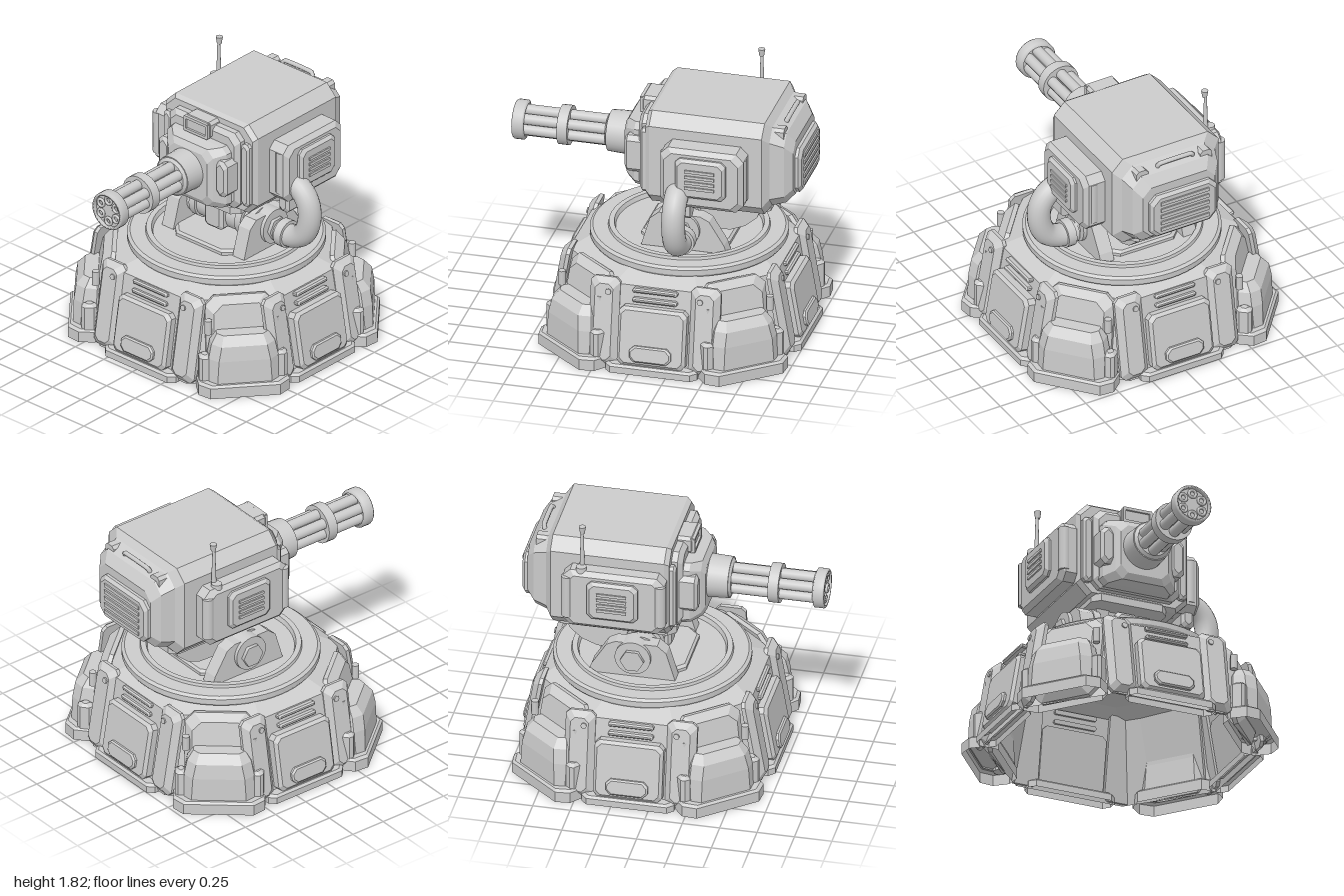
import * as THREE from 'three';

const mat = new THREE.MeshStandardMaterial({ color: 0xcccccc, side: THREE.DoubleSide });

function add(parent, name, geo, x = 0, y = 0, z = 0) {
  const m = new THREE.Mesh(geo, mat);
  m.name = name;
  m.position.set(x, y, z);
  parent.add(m);
  return m;
}

// Chamfered rectangle, counter-clockwise
function rect(w, h, c) {
  const a = w / 2, b = h / 2;
  return [[a, c - b], [a, b - c], [a - c, b], [c - a, b], [-a, b - c], [-a, c - b], [c - a, -b], [a - c, -b]];
}

// Skin between outlines stacked along z: sections are [outline, z, yShift]
function loft(sections, startCap = true, endCap = true) {
  const pos = [];
  const pt = (k, i) => {
    const [o, z, dy = 0] = sections[k], p = o[i % o.length];
    return [p[0], p[1] + dy, z];
  };
  const n = sections[0][0].length, last = sections.length - 1;
  for (let k = 0; k < last; k++) for (let i = 0; i < n; i++) {
    const a = pt(k, i), b = pt(k, i + 1), c = pt(k + 1, i + 1), d = pt(k + 1, i);
    pos.push(...a, ...b, ...c, ...a, ...c, ...d);
  }
  for (let i = 1; i < n - 1; i++) {
    if (endCap) pos.push(...pt(last, 0), ...pt(last, i), ...pt(last, i + 1));
    if (startCap) pos.push(...pt(0, 0), ...pt(0, i + 1), ...pt(0, i));
  }
  const g = new THREE.BufferGeometry();
  g.setAttribute('position', new THREE.Float32BufferAttribute(pos, 3));
  g.computeVertexNormals();
  return g;
}

// Bevelled armour plate facing +z, back at z = 0
function plate(w, h, d, c = 0.04, bevel = 0.03, back = true) {
  return loft([[rect(w, h, c), 0], [rect(w, h, c), d - bevel],
    [rect(w - 2 * bevel, h - 2 * bevel, c), d]], back);
}
// The same shape standing on y = 0
const slab = (w, d, h, c, bevel, bottom) => plate(w, d, h, c, bevel, bottom).rotateX(-Math.PI / 2);
const rod = (r, l, axis, n = 20, r2 = r) => {
  const g = new THREE.CylinderGeometry(r2, r, l, n);
  if (axis === 'x') g.rotateZ(-Math.PI / 2);
  if (axis === 'z') g.rotateX(Math.PI / 2);
  return g;
};
// Side profile given as [z, y] points, extruded across x
function profile(points, w) {
  const s = new THREE.Shape(points.map(([z, y]) => new THREE.Vector2(-z, y)));
  return new THREE.ExtrudeGeometry(s, { depth: w, bevelEnabled: false })
    .translate(0, 0, -w / 2).rotateY(Math.PI / 2);
}
const lathe = (pts, n) => new THREE.LatheGeometry(pts.map(p => new THREE.Vector2(...p)), n);

function buildBase() {
  const base = new THREE.Group();
  base.name = 'base';
  base.position.z = -0.145;
  // Hollow shell, open below
  add(base, 'baseShell', loft([[rect(1.68, 1.58, 0.46), 0.01], [rect(1.47, 1.4, 0.42), 0.57],
    [rect(1.16, 1.14, 0.36), 0.64]], false, false).rotateX(-Math.PI / 2));
  for (let i = 0; i < 4; i++) {
    // Flat sides: panel, slats and flanking columns
    const side = new THREE.Group();
    side.name = 'baseSide';
    side.rotation.y = i * Math.PI / 2;
    base.add(side);
    const reach = i % 2 ? 0.835 : 0.785;
    const tilt = new THREE.Group();
    tilt.position.z = reach;
    tilt.rotation.x = -0.17;
    side.add(tilt);
    add(tilt, 'sidePanel', plate(0.46, 0.4, 0.085, 0.03, 0.02), 0, 0.25, -0.01);
    add(tilt, 'stepPlate', plate(0.28, 0.11, 0.03, 0.03, 0.01), 0, 0.14, 0.07);
    for (const y of [0.49, 0.555]) add(tilt, 'slat', plate(0.3, 0.03, 0.05, 0.008, 0.01), 0, y, -0.01);
    add(side, 'sill', slab(0.62, 0.14, 0.06, 0.04, 0.015, false), 0, 0, reach);
    for (const s of [-1, 1]) {
      add(tilt, 'flankColumn', plate(0.2, 0.6, 0.065, 0.03, 0.04), s * 0.34, 0.32, -0.02);
      add(tilt, 'columnBolt', rod(0.02, 0.03, 'z', 8), s * 0.31, 0.53, 0.04);
    }
  }
  // Corners: leaning column and heavy hollow foot
  for (const sx of [-1, 1]) for (const sz of [-1, 1]) {
    const corner = new THREE.Group();
    corner.name = 'baseCorner';
    corner.rotation.y = Math.atan2(sx * 0.766, sz * 0.643);
    base.add(corner);
    const lean = new THREE.Group();
    lean.position.z = 0.84;
    lean.rotation.x = -0.2;
    corner.add(lean);
    add(lean, 'cornerColumn', plate(0.46, 0.6, 0.08, 0.06, 0.05), 0, 0.32, -0.02);
    add(corner, 'footPlate', slab(0.6, 0.25, 0.09, 0.07, 0.015, false), 0, 0, 0.885);
    add(corner, 'footBlock', loft([[rect(0.46, 0.22, 0.05), 0.08], [rect(0.46, 0.21, 0.06), 0.25],
      [rect(0.42, 0.2, 0.06), 0.35, 0.01], [rect(0.34, 0.12, 0.04), 0.41, 0.02]], false).rotateX(-Math.PI / 2), 0, 0, 0.87);
    for (const s of [-1, 1]) {
      add(corner, 'footLug', slab(0.08, 0.1, 0.2, 0.02, 0.02), s * 0.25, 0.07, 0.87);
      add(corner, 'footHook', rod(0.025, 0.1, 'y', 8), s * 0.22, 0.44, 0.83);
    }
  }
  return base;
}

function buildMount(g) {
  const ring = lathe([[0, 0.62], [0.64, 0.62], [0.65, 0.635], [0.65, 0.67], [0.63, 0.685], [0.53, 0.685],
    [0.525, 0.705], [0.49, 0.705], [0.48, 0.675], [0, 0.675]], 64).toNonIndexed();
  ring.computeVertexNormals();
  add(g, 'turntable', ring, 0, 0, -0.17);
  add(g, 'deckPlate', slab(0.56, 0.6, 0.04, 0.08, 0.015), 0, 0.67, -0.2);
  // Trunnion brackets and axle
  const bracket = [[0.06, 0.68], [0, 0.88], [-0.06, 0.93], [-0.34, 0.93], [-0.4, 0.9], [-0.5, 0.74], [-0.52, 0.68]];
  for (const s of [-1, 1]) {
    add(g, 'bracket', profile(bracket, 0.1), s * 0.31, 0, 0);
    add(g, 'bracketBoss', rod(0.12, 0.13, 'x', 24), s * 0.32, 0.83, -0.22);
    add(g, 'axleBolt', rod(0.08, 0.06, 'x', 6), s * 0.38, 0.82, -0.22);
    add(g, 'axleCollar', rod(0.13, 0.05, 'x', 24), s * 0.2, 0.85, -0.18);
  }
  add(g, 'axle', rod(0.11, 0.6, 'x', 24), 0, 0.84, -0.18);
  add(g, 'axleBlock', plate(0.16, 0.2, 0.24, 0.02, 0.02), 0, 0.85, -0.27);
  // Curved rockers under the gun housing
  const rocker = [[-0.08, 1.01], [-0.1, 0.85], [-0.25, 0.77], [-0.5, 0.78], [-0.6, 0.82], [-0.68, 0.89], [-0.73, 1.01]];
  for (const x of [-0.15, 0, 0.15]) add(g, 'rocker', profile(rocker, 0.09), x, 0, 0);
  add(g, 'rockerCore', profile(rocker.map(([z, y]) => [z * 0.93 - 0.02, y + 0.03]), 0.36));
}

function buildHousing(g) {
  add(g, 'housing', loft([[rect(0.54, 0.38, 0.06), -0.95, -0.02], [rect(0.64, 0.5, 0.07), -0.9, -0.01],
    [rect(0.7, 0.57, 0.08), -0.81], [rect(0.8, 0.66, 0.08), -0.77], [rect(0.8, 0.66, 0.08), -0.01],
    [rect(0.76, 0.62, 0.08), 0.02]]), 0.02, 1.33, 0);
  add(g, 'bellyPlate', slab(0.54, 0.82, 0.06, 0.05, 0.01), 0, 0.965, -0.37);
  add(g, 'frontPlate', plate(0.62, 0.56, 0.08, 0.05, 0.03), 0.02, 1.32, 0.01);
  add(g, 'mantlet', loft([[rect(0.54, 0.46, 0.04), 0.07], [rect(0.52, 0.45, 0.04), 0.13],
    [rect(0.4, 0.42, 0.05), 0.195], [rect(0.34, 0.34, 0.05), 0.22]]), 0.01, 1.28, 0);
  for (const s of [-1, 1]) {
    add(g, 'mantletCheek', plate(0.1, 0.26, 0.12, 0.03, 0.02), 0.015 + s * 0.25, 1.3, 0.07);
    add(g, 'frontRail', plate(0.07, 0.46, 0.05, 0.02, 0.015), 0.02 + s * 0.34, 1.31, 0.01);
  }
  // Sight window frame
  add(g, 'sightBox', plate(0.22, 0.12, 0.12, 0.02, 0.01), 0, 1.57, 0);
  for (const s of [-1, 1]) {
    add(g, 'sightFrame', new THREE.BoxGeometry(0.2, 0.02, 0.03), 0, 1.57 + s * 0.045, 0.12);
    add(g, 'sightFrame', new THREE.BoxGeometry(0.02, 0.1, 0.03), s * 0.095, 1.57, 0.12);
  }
  // Rear pack with louvres and lifting handle
  add(g, 'rearPack', plate(0.5, 0.32, 0.06, 0.05, 0.02).rotateY(Math.PI), 0, 1.28, -0.93);
  for (let i = 0; i < 5; i++) add(g, 'louvre', new THREE.BoxGeometry(0.36, 0.025, 0.03), 0, 1.18 + i * 0.05, -0.985);
  const handle = new THREE.CatmullRomCurve3([[-0.13, 1.54, -0.84], [-0.12, 1.61, -0.87], [0.12, 1.61, -0.87],
    [0.13, 1.54, -0.84]].map(p => new THREE.Vector3(...p)), false, 'catmullrom', 0.2);
  add(g, 'rearHandle', new THREE.TubeGeometry(handle, 24, 0.016, 8));
  for (const s of [-1, 1]) add(g, 'rearLug', plate(0.09, 0.1, 0.12, 0.02, 0.02), 0.02 + s * 0.24, 1.56, -0.89);

  // Side pods: [side, inner x, centre z, length, depth]
  for (const [s, x, z, len, d] of [[1, 0.42, -0.4, 0.56, 0.15], [-1, -0.38, -0.33, 0.68, 0.11]]) {
    const pod = new THREE.Group();
    pod.name = s > 0 ? 'leftPod' : 'rightPod';
    pod.position.set(x, 1.3, z);
    pod.rotation.y = s * Math.PI / 2;
    g.add(pod);
    add(pod, 'podBody', plate(len, 0.42, d, 0.05, 0.03));
    add(pod, 'podCover', plate(0.34, 0.28, d + 0.035, 0.03, 0.02), 0, 0.02, 0);
    for (let i = 0; i < 4; i++) add(pod, 'podSlat', new THREE.BoxGeometry(0.2, 0.02, 0.02), 0, -0.04 + i * 0.04, d + 0.035);
    for (const e of [-1, 1]) add(pod, 'podClamp', rod(0.04, 0.3, 'y', 10), e * (len / 2 - 0.03), 0.01, 0.08);
  }
  add(g, 'hoseSocket', plate(0.09, 0.14, 0.16, 0.02, 0.02), 0.5, 1.07, -0.32);

  // Antenna
  add(g, 'antennaBase', rod(0.045, 0.12, 'y', 12, 0.035), -0.44, 1.47, -0.55);
  add(g, 'antennaMast', rod(0.018, 0.3, 'y', 10, 0.009), -0.41, 1.64, -0.55);
  add(g, 'antennaTip', rod(0.016, 0.05, 'y', 10, 0.024), -0.405, 1.79, -0.55);
  // Ammunition hose
  const path = [[0.4, 0.8], [0.52, 0.8], [0.62, 0.86], [0.665, 0.98], [0.65, 1.1], [0.58, 1.18], [0.46, 1.2]];
  const hose = new THREE.CatmullRomCurve3(path.map(([x, y]) => new THREE.Vector3(x, y, -0.24)));
  add(g, 'hose', new THREE.TubeGeometry(hose, 48, 0.078, 18));
  add(g, 'hoseCollar', rod(0.095, 0.06, 'x', 20), 0.46, 0.8, -0.24);
}

function buildGun(g) {
  const gun = new THREE.Group();
  gun.name = 'rotaryGun';
  gun.position.y = 1.3;
  g.add(gun);
  add(gun, 'gunCollar', rod(0.145, 0.16, 'z', 28, 0.138), 0, 0, 0.28);
  add(gun, 'gunCollarRim', rod(0.138, 0.02, 'z', 28, 0.11), 0, 0, 0.365);
  add(gun, 'barrelCore', rod(0.065, 0.62, 'z', 16), 0, 0, 0.66);
  for (let i = 0; i < 6; i++) {
    const a = (i + 0.5) * Math.PI / 3, x = 0.076 * Math.cos(a), y = 0.076 * Math.sin(a);
    add(gun, 'barrel', rod(0.036, 0.62, 'z', 14), x, y, 0.66);
    add(gun, 'muzzle', new THREE.TorusGeometry(0.025, 0.01, 8, 16), x, y, 0.982);
  }
  add(gun, 'barrelClamp', rod(0.132, 0.07, 'z', 28), 0, 0, 0.66);
  add(gun, 'muzzleDisc', rod(0.12, 0.04, 'z', 28), 0, 0, 0.955);
  const rim = [[0.112, 0.92], [0.132, 0.93], [0.132, 0.99], [0.125, 1], [0.112, 1], [0.112, 0.92]];
  add(gun, 'muzzleRing', lathe(rim, 28).rotateX(Math.PI / 2));
}

export function createModel() {
  const model = new THREE.Group();
  model.name = 'gunTurret';
  model.add(buildBase());
  const turret = new THREE.Group();
  turret.name = 'turret';
  model.add(turret);
  buildMount(turret);
  buildHousing(turret);
  buildGun(turret);
  return model;
}
